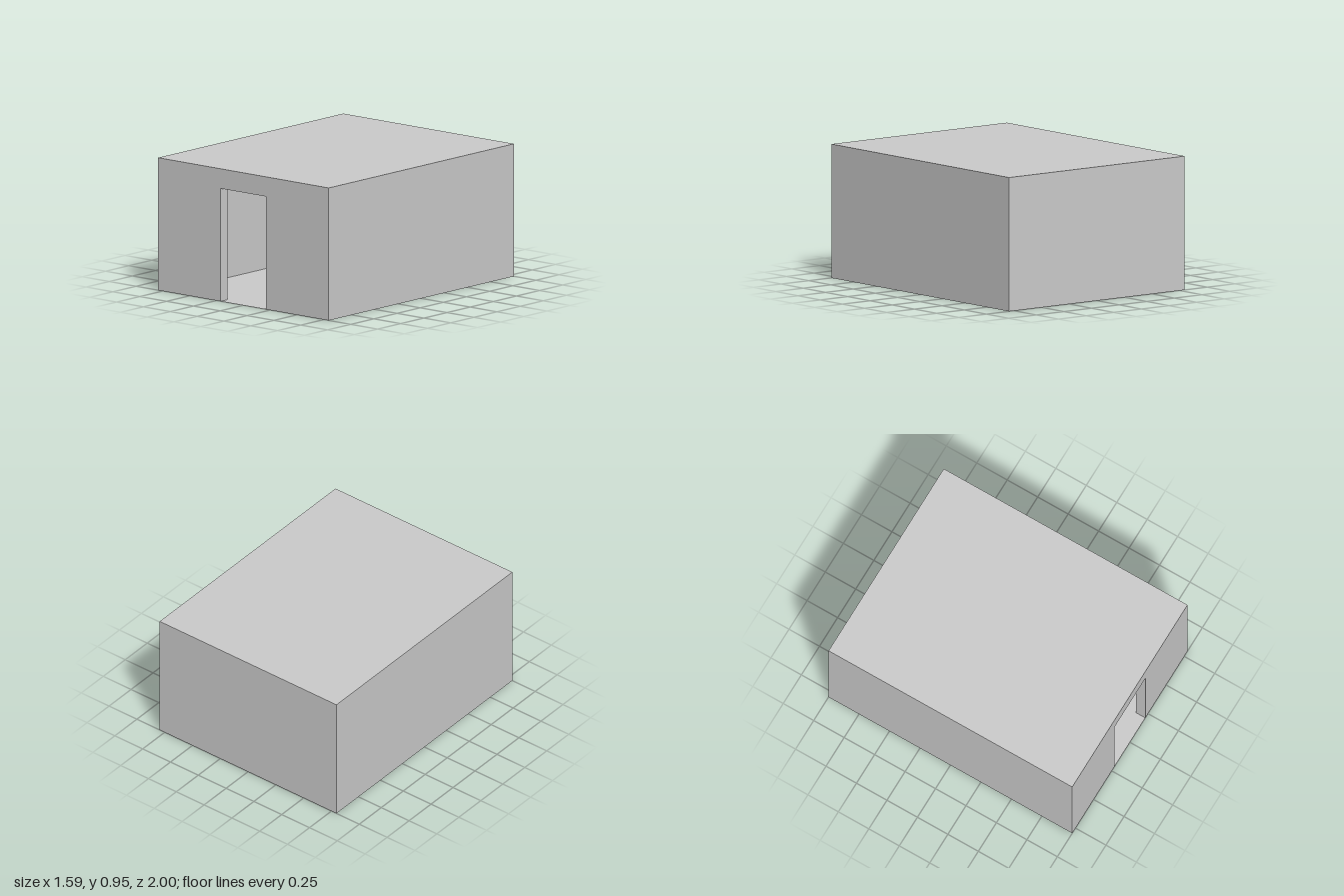
import * as THREE from 'three';

const W = 0.795, D = 1, H = 0.955;         // outer half width, half depth, height
const IW = 0.703, ID = 0.923, IH = 0.87;   // inner room
const DW = 0.213, DH = 0.813;              // doorway half width, height

export function createModel() {
  const model = new THREE.Group();
  const material = new THREE.MeshStandardMaterial({
    color: 0xcccccc, flatShading: true, side: THREE.DoubleSide,
  });

  const add = (parent, name, geometry, position = [0, 0, 0], rotation = [0, 0, 0]) => {
    const mesh = new THREE.Mesh(geometry, material);
    mesh.name = name;
    mesh.position.set(...position);
    mesh.rotation.set(...rotation);
    parent.add(mesh);
  };
  const polygon = (points) => new THREE.ShapeGeometry(
    new THREE.Shape(points.map(([x, y]) => new THREE.Vector2(x, y))));
  const q = Math.PI / 2;

  // Thin shell, open below, with the doorway cut from its front wall.
  // facing = 1 turns the faces outward, -1 turns them into the room.
  const shell = (name, w, d, h, facing) => {
    const group = new THREE.Group();
    group.name = name;
    const flip = facing < 0 ? Math.PI : 0;
    add(group, 'frontWall', polygon([
      [-w, 0], [-DW, 0], [-DW, DH], [DW, DH], [DW, 0], [w, 0], [w, h], [-w, h],
    ]), [0, 0, d], [0, flip, 0]);
    add(group, 'backWall', new THREE.PlaneGeometry(2 * w, h), [0, h / 2, -d], [0, Math.PI + flip, 0]);
    for (const s of [1, -1]) {
      add(group, s > 0 ? 'leftWall' : 'rightWall', new THREE.PlaneGeometry(2 * d, h),
        [s * w, h / 2, 0], [0, s * q + flip, 0]);
    }
    add(group, facing > 0 ? 'roof' : 'ceiling', new THREE.PlaneGeometry(2 * w, 2 * d),
      [0, h, 0], [-q * facing, 0, 0]);
    model.add(group);
  };
  shell('outerShell', W, D, H, 1);
  shell('innerShell', IW, ID, IH, -1);

  // Floor of the room, reaching out through the doorway
  add(model, 'floor', polygon([
    [-IW, -ID], [-DW, -ID], [-DW, -D], [DW, -D], [DW, -ID], [IW, -ID], [IW, ID], [-IW, ID],
  ]), [0, 0, 0], [-q, 0, 0]);

  // Doorway lining between the two shells
  const t = D - ID, zMid = (D + ID) / 2;
  for (const s of [1, -1]) {
    add(model, s > 0 ? 'leftDoorJamb' : 'rightDoorJamb', new THREE.PlaneGeometry(t, DH),
      [s * DW, DH / 2, zMid], [0, -s * q, 0]);
  }
  add(model, 'doorHead', new THREE.PlaneGeometry(2 * DW, t), [0, DH, zMid], [q, 0, 0]);

  return model;
}
